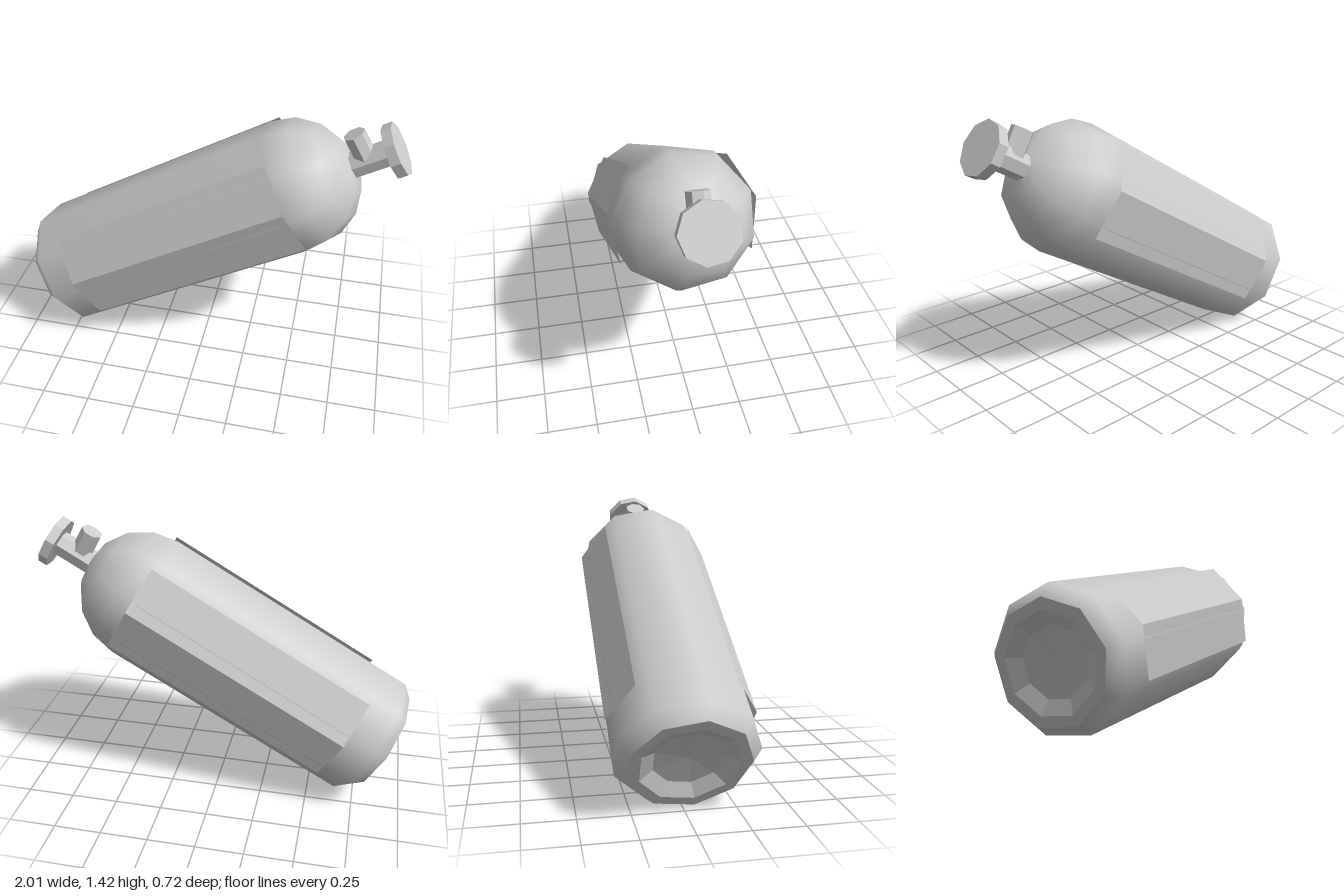
import * as THREE from 'three';

const deg = THREE.MathUtils.degToRad;
const SIDES = 9;
const START = deg(79); // turns the nine-sided parts so a corner sits near the underside

// Faceted copy of a geometry
function faceted(geometry) {
  const g = geometry.toNonIndexed();
  g.computeVertexNormals();
  return g;
}

export function createModel() {
  const metal = new THREE.MeshStandardMaterial({ color: 0xcccccc, side: THREE.DoubleSide });
  metal.name = 'light grey metal';

  const model = new THREE.Group();
  model.name = 'gasCylinder';

  // The cylinder is built upright along y, then leaned over
  const tank = new THREE.Group();
  tank.name = 'leaningTank';
  tank.rotation.z = deg(-60);
  tank.position.set(-0.3325, 0.576, 0);
  model.add(tank);

  const add = (name, geometry) => {
    const mesh = new THREE.Mesh(geometry, metal);
    mesh.name = name;
    tank.add(mesh);
    return mesh;
  };
  const lathe = (points) => new THREE.LatheGeometry(
    points.map(([r, y]) => new THREE.Vector2(r, y)), SIDES, START, Math.PI * 2);

  // Body: bevelled foot, straight wall and round shoulder
  const R = 0.35;
  const profile = [[0.293, -0.61], [R, -0.54]];
  for (let i = 0; i <= 4; i++) {
    const a = (i / 4) * Math.PI / 2;
    profile.push([i === 4 ? 0 : R * Math.cos(a), 0.88 + R * Math.sin(a)]);
  }
  add('body', lathe(profile));

  // Underside with a shallow hollow
  add('base', faceted(lathe([[0, -0.56], [0.17, -0.57], [0.24, -0.61], [0.293, -0.61]])));

  // Two-faced panels along both sides
  for (const [name, start] of [['frontPanel', -50], ['backPanel', 150]]) {
    const panel = add(name, faceted(
      new THREE.CylinderGeometry(0.365, 0.365, 1.28, 2, 1, true, deg(start), deg(80))));
    panel.position.y = 0.27;
  }

  // Valve stem
  const stem = add('valveStem', faceted(
    new THREE.CylinderGeometry(0.067, 0.067, 0.27, 7, 1, false, Math.PI / 2)));
  stem.position.y = 1.285;

  // Outlet on the upper side of the stem
  const outlet = add('valveOutlet', faceted(new THREE.CylinderGeometry(0.056, 0.056, 0.16, 7)));
  outlet.rotation.z = Math.PI / 2;
  outlet.position.set(-0.08, 1.288, 0);

  // Hand wheel
  const wheel = add('handWheel', faceted(
    new THREE.CylinderGeometry(0.138, 0.138, 0.05, SIDES, 1, false, START)));
  wheel.position.y = 1.435;

  return model;
}
